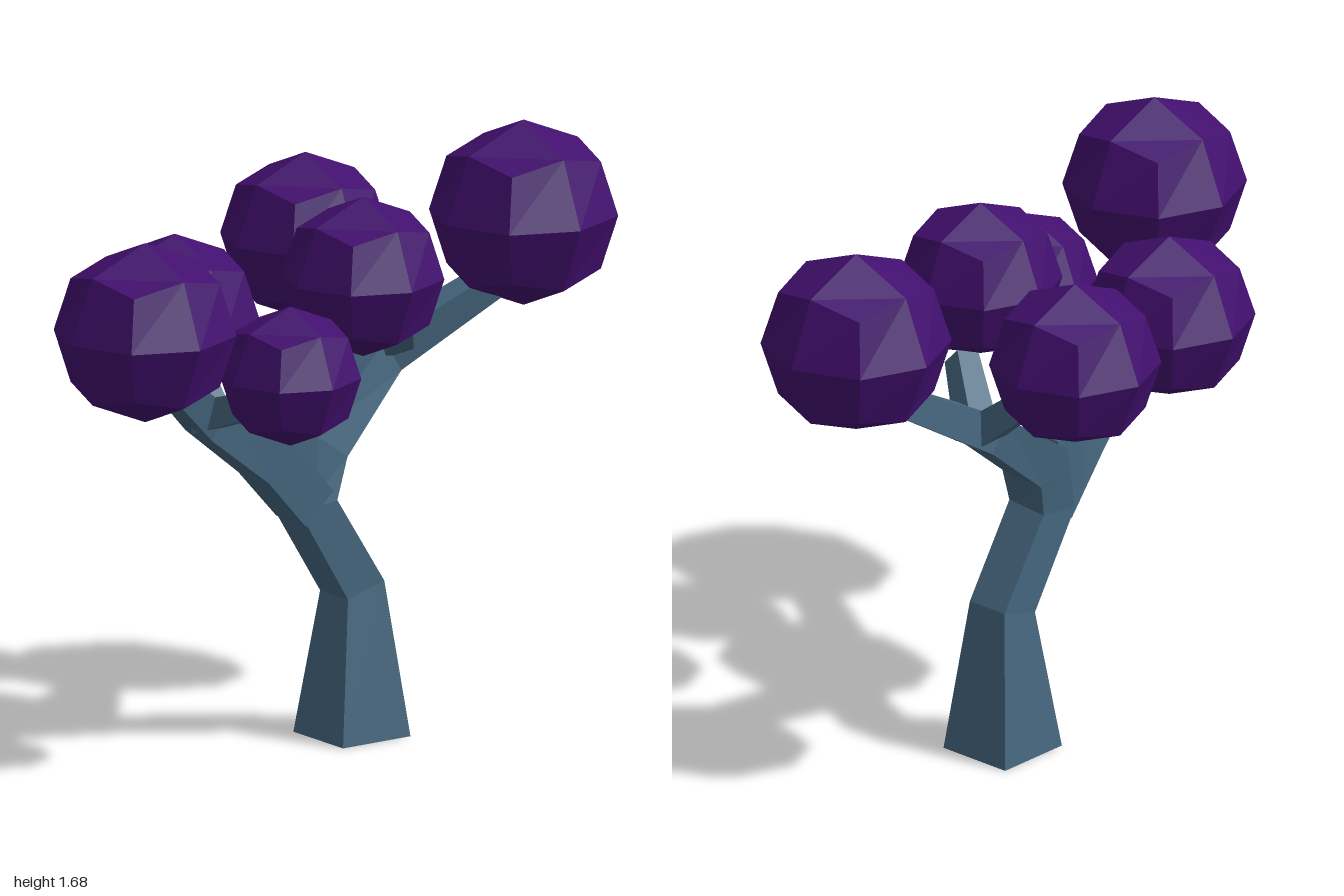
import * as THREE from 'three';

const bark = new THREE.MeshStandardMaterial({ color: 0x46677f });
bark.name = 'blue grey bark';
const leaf = new THREE.MeshStandardMaterial({ color: 0x420f6e });
leaf.name = 'deep purple leaves';

// Square-section limb lofted through [x, y, z, halfWidth] stations with mitred joints
function limb(stations, ref = new THREE.Vector3(1, 0, 0)) {
  const centres = stations.map(([x, y, z]) => new THREE.Vector3(x, y, z));
  const n = centres.length;
  const dir = i => centres[i + 1].clone().sub(centres[i]).normalize();
  const rings = centres.map((c, i) => {
    const t = new THREE.Vector3();
    if (i > 0) t.add(dir(i - 1));
    if (i < n - 1) t.add(dir(i));
    t.normalize();
    const u = ref.clone().addScaledVector(t, -ref.dot(t)).normalize();
    const v = t.clone().cross(u);
    const r = stations[i][3];
    return [[1, 1], [-1, 1], [-1, -1], [1, -1]].map(([a, b]) =>
      c.clone().addScaledVector(u, a * r).addScaledVector(v, b * r));
  });
  const pts = [];
  const quad = (a, b, c, d) => pts.push(a, b, c, a, c, d);
  for (let i = 0; i < n - 1; i++) {
    for (let k = 0; k < 4; k++) {
      const j = (k + 1) % 4;
      quad(rings[i][k], rings[i][j], rings[i + 1][j], rings[i + 1][k]);
    }
  }
  quad(...rings[0].slice().reverse());
  quad(...rings[n - 1]);
  const g = new THREE.BufferGeometry().setFromPoints(pts);
  g.computeVertexNormals();
  return g;
}

// Faceted ball: a 2x2x2 box pushed out onto a sphere
function ball(radius) {
  const g = new THREE.BoxGeometry(1, 1, 1, 2, 2, 2);
  const p = g.attributes.position;
  const v = new THREE.Vector3();
  for (let i = 0; i < p.count; i++) {
    v.fromBufferAttribute(p, i).setLength(radius);
    p.setXYZ(i, v.x, v.y, v.z);
  }
  const flat = g.toNonIndexed();
  flat.computeVertexNormals();
  return flat;
}

export function createModel() {
  const tree = new THREE.Group();
  tree.name = 'tree';
  const add = (name, geometry, material) => {
    const m = new THREE.Mesh(geometry, material);
    m.name = name;
    tree.add(m);
    return m;
  };
  const zRef = new THREE.Vector3(0, 0, 1);

  // Trunk flowing into the rear branch, and the forked front branch
  add('trunkAndRearBranch', limb([
    [0.045, 0, -0.162, 0.116], [0.045, 0.425, -0.163, 0.065], [0.045, 0.685, 0, 0.065],
    [0.025, 0.84, -0.05, 0.068], [-0.055, 1.045, -0.34, 0.053], [0.04, 1.22, -0.64, 0.04],
  ]), bark);
  add('frontBranch', limb([
    [0.045, 0.685, 0, 0.065], [0.06, 0.84, 0.145, 0.066],
    [0.09, 0.99, 0.37, 0.05], [0.21, 1.18, 0.61, 0.04],
  ]), bark);
  add('crotch', new THREE.BoxGeometry(0.12, 0.17, 0.1), bark).position.set(0.045, 0.805, 0.05);

  // Twigs reaching the side clumps
  add('rearLeftTwig', limb([[-0.06, 1.05, -0.38, 0.045], [0.1, 1.2, -0.27, 0.035]], zRef), bark);
  add('rearRightTwig', limb([[-0.05, 1.05, -0.36, 0.045], [-0.23, 1.2, -0.32, 0.035]], zRef), bark);
  add('frontLeftTwig', limb([[0.08, 1.0, 0.39, 0.045], [0.28, 1.07, 0.33, 0.037]], zRef), bark);
  add('frontRightTwig', limb([[0.08, 0.97, 0.34, 0.045], [-0.06, 1.1, 0.31, 0.035]], zRef), bark);

  // Foliage clumps: x, y, z, radius
  const clumps = {
    rearClump: [0.07, 1.41, -0.735, 0.265],
    rearRightClump: [-0.347, 1.325, -0.292, 0.239],
    rearLeftClump: [0.197, 1.352, -0.088, 0.228],
    frontRightClump: [-0.16, 1.22, 0.297, 0.239],
    frontLeftClump: [0.383, 1.165, 0.3, 0.199],
    frontClump: [0.302, 1.34, 0.74, 0.256],
  };
  for (const [name, [x, y, z, r]] of Object.entries(clumps)) {
    add(name, ball(r), leaf).position.set(x, y, z);
  }
  return tree;
}
